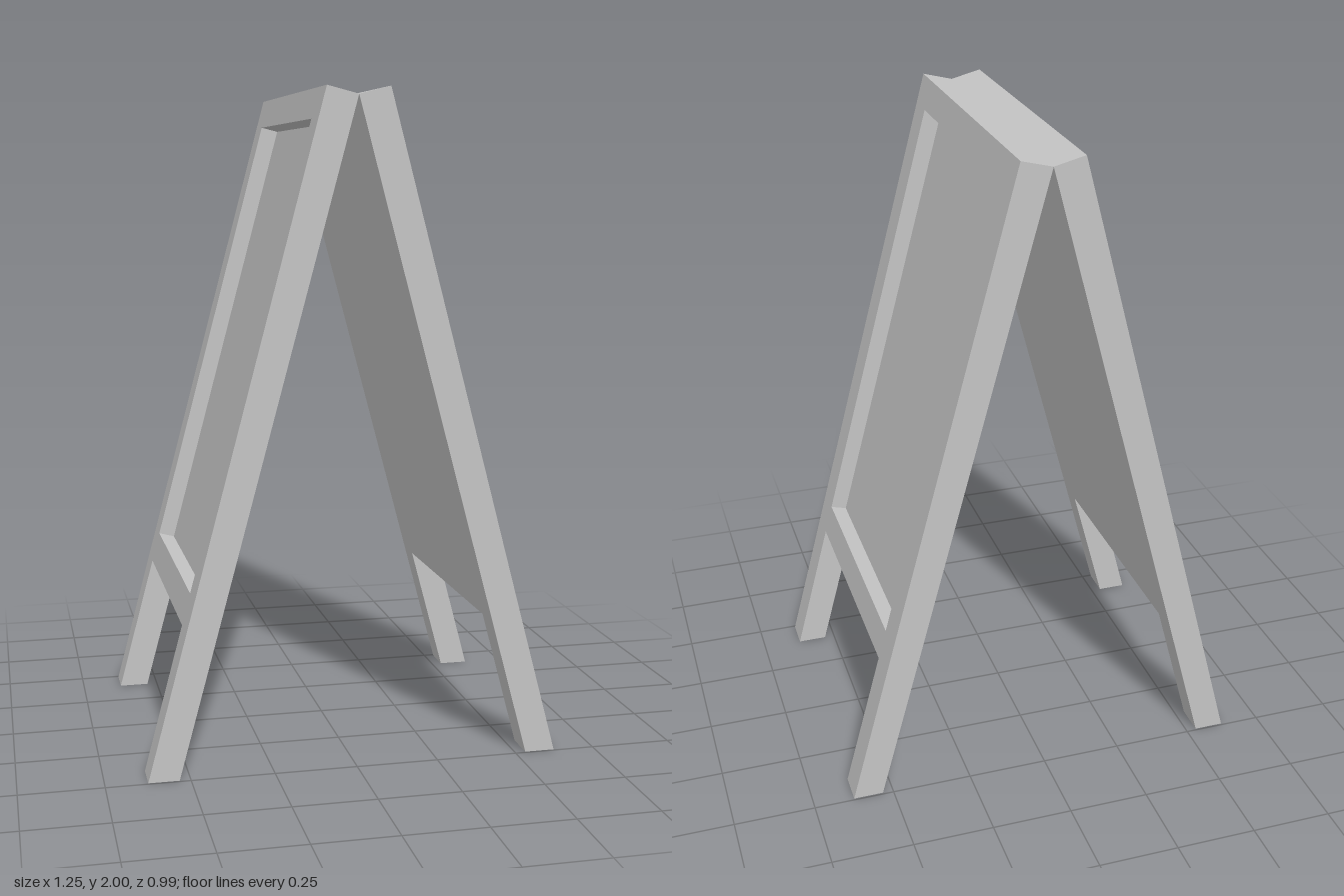
import * as THREE from 'three';

const HALF = 0.494;   // half width of the board
const INNER = 0.397;  // half width between the legs

// Point on a slanted board: y is the height on its outer face,
// d runs from 0 (outer face) to 1 (inner face), square to the slope.
function at(y, d) {
  const outerX = 0.625 - 0.266 * y;
  const innerY = y - 0.0235;
  const innerX = 0.533 * (1 - innerY / 1.9765);
  return new THREE.Vector2(outerX + (innerX - outerX) * d, y - 0.0235 * d);
}

// Band of the board between two heights and two depths
const band = (y0, y1, d0, d1) => [at(y0, d0), at(y1, d0), at(y1, d1), at(y0, d1)];

function slab(name, points, z0, z1, material) {
  const geometry = new THREE.ExtrudeGeometry(new THREE.Shape(points), { depth: z1 - z0, bevelEnabled: false });
  geometry.translate(0, 0, z0);
  const mesh = new THREE.Mesh(geometry, material);
  mesh.name = name;
  return mesh;
}

function createBoard(name, material) {
  const board = new THREE.Group();
  board.name = name;
  // legs: square at the top, cut level at the floor
  const leg = [new THREE.Vector2(0.625, 0), at(2, 0), at(2, 1), new THREE.Vector2(0.533, 0)];
  board.add(
    slab('frontLeg', leg, INNER, HALF, material),
    slab('backLeg', leg, -HALF, -INNER, material),
    slab('topRail', band(1.91, 2, 0, 1), -INNER, INNER, material),
    slab('bottomRail', band(0.44, 0.535, 0, 1), -INNER, INNER, material),
    // panel set back from the outer face, flush with the inner one
    slab('panel', band(0.535, 1.91, 0.57, 1), -INNER, INNER, material)
  );
  return board;
}

export function createModel() {
  const grey = new THREE.MeshStandardMaterial({ color: 0xc4c4c4 });
  grey.name = 'light grey';
  const model = new THREE.Group();
  model.name = 'sandwichBoard';
  const left = createBoard('leftBoard', grey);
  const right = createBoard('rightBoard', grey);
  right.rotation.y = Math.PI;
  model.add(left, right);
  return model;
}
